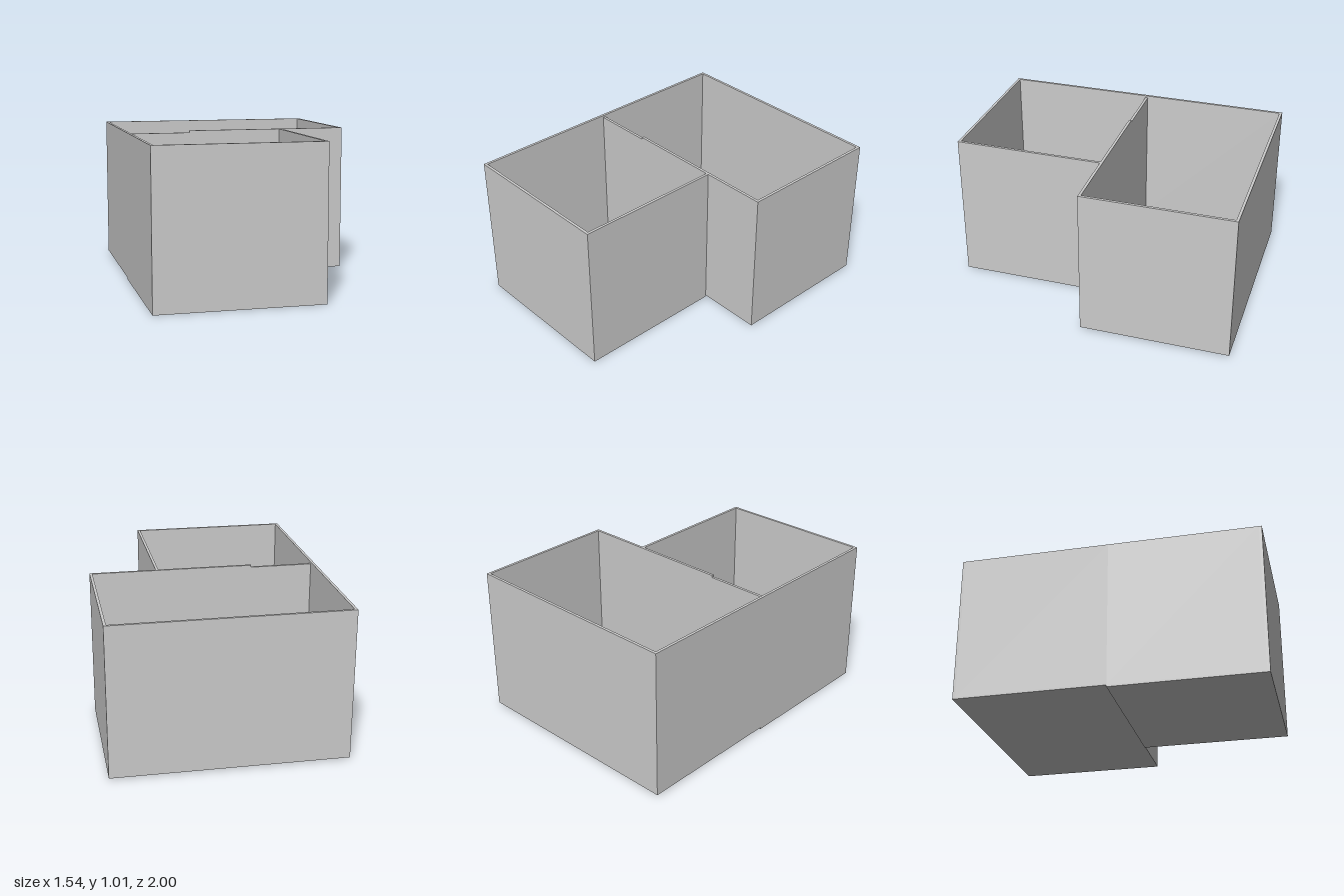
import * as THREE from 'three';

const T = 0.018;      // wall thickness
const SLAB = 0.012;   // floor thickness
const TOP = 1.01;     // top of the walls
const W = 0.768;      // half of the overall width
const FRONT_X = 0.324; // outer side of the narrower front room

export function createModel() {
  const model = new THREE.Group();
  const material = new THREE.MeshStandardMaterial({ color: 0xcccccc, flatShading: true });

  // Box given by its extents along each axis
  function block(name, [x0, x1], [y0, y1], [z0, z1]) {
    const mesh = new THREE.Mesh(new THREE.BoxGeometry(x1 - x0, y1 - y0, z1 - z0), material);
    mesh.position.set((x0 + x1) / 2, (y0 + y1) / 2, (z0 + z1) / 2);
    mesh.name = name;
    model.add(mesh);
  }

  // Front room: floor slab and three walls, open towards the partition
  const frontY = [SLAB, TOP];
  block('frontRoomFloor', [-W, FRONT_X], [0, SLAB], [0, 1]);
  block('frontRoomRightWall', [-W, -W + T], frontY, [0, 1 - T]);
  block('frontRoomLeftWall', [FRONT_X - T, FRONT_X], frontY, [0, 1 - T]);
  block('frontRoomFrontWall', [-W, FRONT_X], frontY, [1 - T, 1]);

  // Back room: slightly raised floor, back and side walls
  const backY = [2 * SLAB, TOP];
  block('backRoomFloor', [-W, W], [SLAB, 2 * SLAB], [-1, 0]);
  block('backRoomBackWall', [-W, W], backY, [-1, -1 + T]);
  block('backRoomRightWall', [-W, -W + T], backY, [-1 + T, 0]);
  block('backRoomLeftWall', [W - T, W], backY, [-1 + T, 0]);

  // Partition between the rooms, with a slightly lower panel at one end
  block('partitionWall', [-0.33, W - T], backY, [-T, 0]);
  block('partitionPanel', [-W + T, -0.33], [2 * SLAB, TOP - 0.014], [-T, 0]);

  return model;
}
